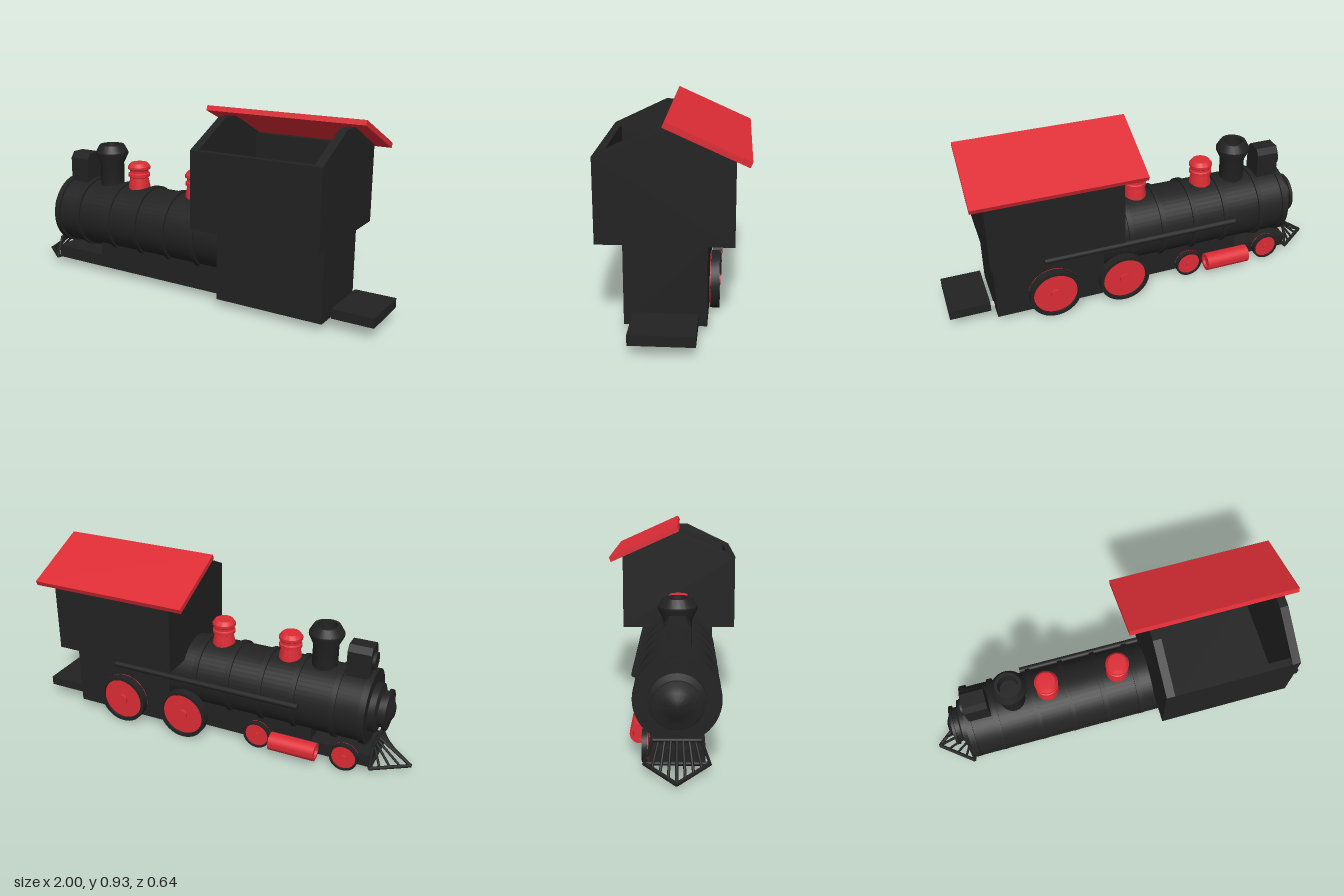
import * as THREE from 'three';
import { toCreasedNormals } from 'three/addons/utils/BufferGeometryUtils.js';

const black = new THREE.MeshStandardMaterial({ color: 0x222222 });
const red = new THREE.MeshStandardMaterial({ color: 0xdd2c35 });
const grey = new THREE.MeshStandardMaterial({ color: 0xcccccc });
const MID = 0.03; // z of the engine's centre line
const AXIS = 0.3; // height of the boiler axis

export function createModel() {
  const model = new THREE.Group();
  model.name = 'steamLocomotive';

  const add = (name, geometry, material = black, parent = model) => {
    const mesh = new THREE.Mesh(geometry, material);
    mesh.name = name;
    parent.add(mesh);
    return mesh;
  };
  // box given by its extents
  const box = (name, x0, x1, y0, y1, z0, z1, material) => {
    const m = add(name, new THREE.BoxGeometry(x1 - x0, y1 - y0, z1 - z0), material);
    m.position.set((x0 + x1) / 2, (y0 + y1) / 2, (z0 + z1) / 2);
    return m;
  };
  // turned part with crisp edges; points are [radius, height]
  const turned = (points, segments = 40) => toCreasedNormals(
    new THREE.LatheGeometry(points.map(p => new THREE.Vector2(...p)), segments), 0.5);
  // straight round bar between two points
  const bar = (name, a, b, r, parent = model, material = black) => {
    const from = new THREE.Vector3(...a), to = new THREE.Vector3(...b);
    const dir = to.clone().sub(from);
    const m = add(name, new THREE.CylinderGeometry(r, r, dir.length(), 12), material, parent);
    m.position.copy(from).add(to).multiplyScalar(0.5);
    m.quaternion.setFromUnitVectors(new THREE.Vector3(0, 1, 0), dir.normalize());
    return m;
  };

  // boiler with stepped smokebox door, turned around the x axis
  const boiler = add('boiler', turned([
    [0, -0.24], [0.175, -0.24], [0.175, 0.785], [0.12, 0.785], [0.12, 0.815],
    [0.088, 0.825], [0.088, 0.848], [0.1, 0.848], [0.1, 0.862], [0.075, 0.866],
    [0.055, 0.872], [0.03, 0.885], [0, 0.887]], 48).rotateZ(Math.PI / 2));
  boiler.position.set(0, AXIS, MID);

  // boiler bands
  [-0.77, -0.63, -0.43, -0.26, -0.09, 0.083].forEach((x, i) => {
    const w = i ? 0.024 : 0.03;
    const band = add('boilerBand', toCreasedNormals(
      new THREE.CylinderGeometry(0.185, 0.185, w, 48).rotateZ(Math.PI / 2), 0.5));
    band.position.set(x, AXIS, MID);
  });

  // chimney
  add('chimney', turned([
    [0, 0.42], [0.062, 0.42], [0.062, 0.58], [0.085, 0.628], [0.085, 0.64],
    [0.064, 0.677], [0.048, 0.677], [0.044, 0.62], [0, 0.62]]))
    .position.set(-0.53, 0, MID);

  // steam and sand domes
  for (const x of [-0.353, 0.003]) {
    add('dome', turned([
      [0, 0.42], [0.057, 0.42], [0.056, 0.48], [0.047, 0.525], [0.056, 0.53], [0.056, 0.545],
      [0.049, 0.55], [0.049, 0.563], [0.058, 0.57], [0.058, 0.582], [0.044, 0.6], [0, 0.602]]), red)
      .position.set(x, 0, MID);
  }

  // headlamp with bevelled top
  const lampShape = new THREE.Shape();
  [[-0.057, 0.44], [0.057, 0.44], [0.057, 0.59], [0.035, 0.62], [-0.035, 0.62], [-0.057, 0.59]]
    .forEach(([x, y], i) => (i ? lampShape.lineTo(x, y) : lampShape.moveTo(x, y)));
  add('headlamp', new THREE.ExtrudeGeometry(lampShape, { depth: 0.114, bevelEnabled: false })
    .rotateY(-Math.PI / 2)).position.set(-0.651, 0, MID);
  bar('lampLens', [-0.78, 0.543, MID], [-0.76, 0.543, MID], 0.042);

  // chassis and lower cab
  box('frame', -0.82, 0.22, 0.035, 0.1, -0.087, 0.147);
  box('boilerSupport', -0.52, 0.23, 0.1, 0.168, -0.087, 0.147);
  box('lowerCab', 0.23, 0.775, 0.035, 0.4, -0.145, 0.207);
  box('rearPlatform', 0.8, 1.0, 0.055, 0.102, -0.11, 0.165);
  box('drawbar', 0.77, 0.91, 0.044, 0.055, -0.07, -0.04, grey);

  // upper cab: floor, side walls and gable ends, open on top
  box('cabFloor', 0.156, 0.799, 0.4, 0.42, -0.256, 0.319);
  box('cabSideWall', 0.19, 0.765, 0.4, 0.77, 0.285, 0.32);
  box('cabSideWall', 0.19, 0.765, 0.4, 0.77, -0.257, -0.222);
  const gable = new THREE.Shape();
  [[-0.257, 0.4], [0.32, 0.4], [0.32, 0.77], [0.077, 0.887], [-0.014, 0.887], [-0.257, 0.77]]
    .forEach(([z, y], i) => (i ? gable.lineTo(z, y) : gable.moveTo(z, y)));
  for (const x of [0.195, 0.8]) {
    add('cabGable', new THREE.ExtrudeGeometry(gable, { depth: 0.04, bevelEnabled: false })
      .rotateY(-Math.PI / 2)).position.x = x;
  }

  // single sloping roof panel
  const roof = add('roof', new THREE.BoxGeometry(0.805, 0.025, 0.375), red);
  roof.position.set(0.4625, 0.841, -0.143);
  roof.rotation.x = -0.423;

  // wheels along one side: black tyre, red face, hub and backing disc
  const wheel = (name, x, r, zIn, zOut, backing) => {
    const g = new THREE.Group();
    g.name = name;
    g.position.set(x, r, zIn);
    const d = zIn - zOut;
    const disc = (part, points, material) =>
      add(part, turned(points).rotateX(-Math.PI / 2), material, g);
    disc('tyre', [[0, 0], [r, 0], [r, d], [r * 0.87, d], [r * 0.85, d * 0.7]], black);
    disc('wheelFace', [[r * 0.87, d * 0.75], [0, d * 0.75]], red);
    disc('hub', [[r * 0.2, d * 0.7], [r * 0.2, d + 0.003], [0, d + 0.003]], red);
    if (backing) disc('backing', [[0, -0.002], [r, -0.002], [r, 0.002]], red);
    model.add(g);
  };
  wheel('drivingWheel', 0.135, 0.128, -0.15, -0.19, false);
  wheel('drivingWheel', 0.49, 0.128, -0.15, -0.19, true);
  for (const x of [-0.695, -0.245]) wheel('leadingWheel', x, 0.07, -0.093, -0.118, true);

  // steam cylinder with recessed ends
  add('steamCylinder', turned([
    [0, -0.105], [0.028, -0.105], [0.03, -0.117], [0.045, -0.117], [0.045, 0.117],
    [0.03, 0.117], [0.028, 0.105], [0, 0.105]]).rotateZ(Math.PI / 2), red)
    .position.set(-0.447, 0.075, -0.135);

  // side pipe
  bar('sidePipe', [-0.47, 0.319, -0.162], [0.53, 0.319, -0.162], 0.015);

  // cowcatcher: slats from an upper beam down to a pointed lower rail
  const catcher = new THREE.Group();
  catcher.name = 'cowcatcher';
  model.add(catcher);
  const tip = [-0.99, 0.022, MID];
  bar('upperBeam', [-0.822, 0.14, MID - 0.1], [-0.822, 0.14, MID + 0.1], 0.009, catcher);
  bar('rearBeam', [-0.822, 0.04, MID - 0.13], [-0.822, 0.04, MID + 0.13], 0.009, catcher);
  bar('centreSlat', tip, [-0.822, 0.14, MID], 0.007, catcher);
  for (const s of [-1, 1]) {
    bar('lowerRail', tip, [-0.822, 0.04, MID + s * 0.135], 0.009, catcher);
    for (const t of [0.25, 0.5, 0.75, 1]) {
      bar('slat', [-0.99 + 0.168 * t, 0.022 + 0.018 * t, MID + s * 0.135 * t],
        [-0.822, 0.14, MID + s * 0.1 * t], 0.006, catcher);
    }
  }
  return model;
}
